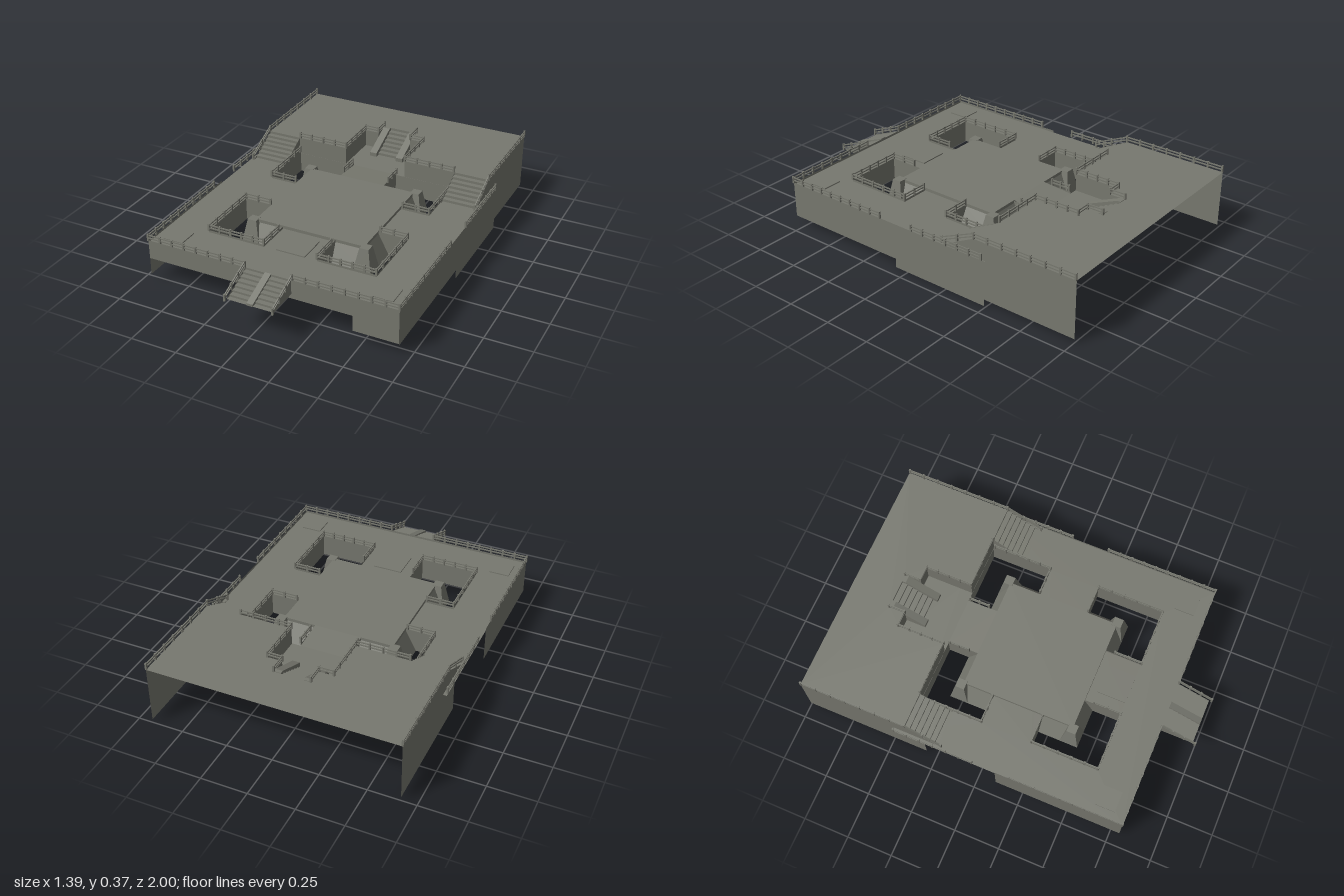
import * as THREE from 'three';

const DECK = 0.238, CURB = 0.25, TOP = 0.335, PLAT = 0.255, FOOT = 0.125;

export function createModel() {
  const root = new THREE.Group();
  root.name = 'terracedPlatform';
  const stone = new THREE.MeshStandardMaterial({ color: 0x77786f, side: THREE.DoubleSide, flatShading: true });
  stone.name = 'greyStone';

  const add = (geo, name, parent = root) => {
    const m = new THREE.Mesh(geo, stone);
    m.name = name;
    parent.add(m);
    return m;
  };

  // four-cornered face
  const quad = (a, b, c, d, name, parent) => {
    const g = new THREE.BufferGeometry();
    g.setAttribute('position', new THREE.Float32BufferAttribute([...a, ...b, ...c, ...d], 3));
    g.setIndex([0, 1, 2, 0, 2, 3]);
    g.computeVertexNormals();
    return add(g, name, parent);
  };
  const wall = (x0, z0, x1, z1, y0, y1, name) =>
    quad([x0, y0, z0], [x1, y0, z1], [x1, y1, z1], [x0, y1, z0], name);

  // flat floor from x,z outlines
  const floor = (outline, holes, y, name) => {
    const pts = (o) => o.map(([x, z]) => new THREE.Vector2(x, -z));
    const s = new THREE.Shape(pts(outline));
    holes.forEach((h) => s.holes.push(new THREE.Path(pts(h))));
    const g = new THREE.ShapeGeometry(s);
    g.rotateX(-Math.PI / 2);
    g.translate(0, y, 0);
    return add(g, name);
  };

  // square bar between two points
  const bar = (a, b, t, name, parent) => {
    const m = add(new THREE.BoxGeometry(t, t, a.distanceTo(b) + t), name, parent);
    m.position.copy(a).lerp(b, 0.5);
    m.lookAt(b);
  };

  // railing with posts and two bars along a path of x,y,z points
  const railing = (path, name, height = 0.035, gap = 0.07) => {
    const g = new THREE.Group();
    g.name = name;
    root.add(g);
    const p = path.map((q) => new THREE.Vector3(...q));
    for (let i = 0; i + 1 < p.length; i++) {
      const a = p[i], b = p[i + 1];
      for (const h of [height * 0.4, height * 0.85]) {
        const up = new THREE.Vector3(0, h, 0);
        bar(a.clone().add(up), b.clone().add(up), 0.006, 'railBar', g);
      }
      const n = Math.max(1, Math.round(a.distanceTo(b) / gap));
      for (let k = 0; k <= n; k++) {
        const post = add(new THREE.BoxGeometry(0.01, height + 0.004, 0.01), 'railPost', g);
        post.position.copy(a).lerp(b, k / n);
        post.position.y += height / 2;
      }
    }
  };

  // stair surface made of risers and treads
  const stairs = (x0, x1, zTop, yTop, zBot, yBot, n, name) => {
    const g = new THREE.Group();
    g.name = name;
    root.add(g);
    const dz = (zBot - zTop) / n, dy = (yTop - yBot) / n;
    for (let i = 0; i < n; i++) {
      const z = zTop + dz * i, y = yTop - dy * i, w = y - dy;
      quad([x0, w, z], [x1, w, z], [x1, y, z], [x0, y, z], 'riser', g);
      quad([x0, w, z + dz], [x1, w, z + dz], [x1, w, z], [x0, w, z], 'tread', g);
    }
  };

  // side profile of z,y points extruded across x
  const profile = (pts, x0, x1, name) => {
    const s = new THREE.Shape(pts.map(([z, y]) => new THREE.Vector2(z, y)));
    const g = new THREE.ExtrudeGeometry(s, { depth: x1 - x0, bevelEnabled: false });
    g.rotateY(-Math.PI / 2);
    g.translate(x1, 0, 0);
    return add(g, name);
  };

  // lower deck with four corner pits
  const frontPit = [[0.31, 0.21], [0.47, 0.21], [0.47, 0.58], [0.15, 0.58], [0.15, 0.38], [0.31, 0.38]];
  const rearPit = [[0.31, -0.07], [0.47, -0.07], [0.47, -0.409], [0.13, -0.409], [0.13, -0.24], [0.31, -0.24]];
  const flip = (o) => o.map(([x, z]) => [-x, z]);
  floor([[-0.69, 0.8], [0.69, 0.8], [0.69, -0.48], [0.18, -0.48], [0.18, -0.67], [-0.18, -0.67],
    [-0.18, -0.48], [-0.69, -0.48]], [frontPit, rearPit, flip(frontPit), flip(rearPit)], DECK, 'deck');

  // upper rear terrace with stair notch
  floor([[-0.67, -1], [0.67, -1], [0.67, -0.41], [0.18, -0.41], [0.18, -0.67], [0.1, -0.67], [0.1, -0.76],
    [-0.1, -0.76], [-0.1, -0.67], [-0.18, -0.67], [-0.18, -0.41], [-0.67, -0.41]], [], TOP, 'upperTerrace');

  // central platform
  const platform = add(new THREE.BoxGeometry(0.62, PLAT - DECK + 0.004, 0.62), 'centralPlatform');
  platform.position.set(0, (PLAT + DECK - 0.004) / 2, 0.07);

  // rear bridge ramp and raised floor panels
  quad([-0.13, DECK + 0.002, -0.41], [-0.13, PLAT, -0.24], [0.13, PLAT, -0.24], [0.13, DECK + 0.002, -0.41], 'bridgeRamp');
  for (const [x, z, w] of [[0, 0.5, 0.16], [-0.585, 0.685, 0.11], [0.575, 0.685, 0.11]]) {
    add(new THREE.BoxGeometry(w, 0.006, w), 'floorPanel').position.set(x, DECK + 0.003, z);
  }

  for (const s of [-1, 1]) {
    // pit retaining walls
    wall(s * 0.47, 0.21, s * 0.47, 0.58, FOOT, CURB, 'pitOuterWall');
    wall(s * 0.15, 0.58, s * 0.47, 0.58, FOOT, CURB, 'pitFrontWall');
    wall(s * 0.15, 0.38, s * 0.15, 0.58, FOOT, CURB, 'pitBridgeWall');
    wall(s * 0.31, 0.21, s * 0.47, 0.21, FOOT, CURB, 'pitSideWall');
    wall(s * 0.47, -0.41, s * 0.47, -0.07, FOOT, CURB, 'pitOuterWall');
    wall(s * 0.31, -0.07, s * 0.47, -0.07, FOOT, CURB, 'pitSideWall');
    wall(s * 0.13, -0.41, s * 0.13, -0.24, FOOT, CURB, 'pitBridgeWall');
    wall(s * 0.13, -0.41, s * 0.47, -0.41, FOOT, DECK, 'pitRearWall');

    // terrace front and notch walls
    wall(s * 0.18, -0.41, s * 0.67, -0.41, DECK, TOP, 'terraceFrontWall');
    wall(s * 0.18, -0.67, s * 0.18, -0.41, DECK, TOP, 'notchSideWall');
    wall(s * 0.1, -0.67, s * 0.18, -0.67, DECK, TOP, 'notchRearWall');
    wall(s * 0.1, -0.76, s * 0.1, -0.67, DECK, TOP, 'stairSideWall');

    // battered platform walls and flared corner piers
    for (const [zt, zf, zp, xi] of [[0.38, 0.43, 0.21, 0.15], [-0.24, -0.3, -0.07, 0.13]]) {
      quad([s * 0.31, DECK, zp], [s * 0.31, DECK, zt], [s * 0.37, FOOT, zf], [s * 0.37, FOOT, zp], 'batteredSideWall');
      quad([s * xi, DECK, zt], [s * 0.31, DECK, zt], [s * 0.37, FOOT, zf], [s * xi, FOOT, zf], 'batteredEndWall');
      const pier = new THREE.CylinderGeometry(0.025 * Math.SQRT2, 0.05 * Math.SQRT2, PLAT - FOOT, 4);
      pier.rotateY(Math.PI / 4);
      add(pier, 'cornerPier').position.set(s * 0.32, (PLAT + FOOT) / 2 + 0.002, zt > 0 ? 0.38 : -0.25);
    }

    // side stairs up to the terrace
    const [a, b] = s > 0 ? [0.475, 0.67] : [-0.67, -0.475];
    stairs(a, b, -0.41, TOP, -0.22, DECK, 7, 'sideStairs');
    for (const x of [0.475, 0.67]) {
      const t = [[s * x, DECK, -0.22], [s * x, DECK, -0.41], [s * x, TOP, -0.41]];
      quad(t[0], t[1], t[2], t[2], 'sideStairCheek');
    }

    // rear stair stringers
    const [c, d] = s > 0 ? [0.06, 0.1] : [-0.1, -0.06];
    profile([[-0.76, DECK], [-0.56, DECK], [-0.56, 0.26], [-0.74, TOP + 0.003], [-0.76, TOP + 0.003]], c, d, 'stairStringer');

    // railings
    railing([[s * 0.69, CURB, 0.18], [s * 0.69, CURB, 0.8], [s * 0.13, CURB, 0.8], [s * 0.13, 0.172, 0.992]], 'frontRailing');
    railing([[s * 0.69, CURB, -0.03], [s * 0.69, CURB, -0.47]], 'sideRailing');
    railing([[s * 0.67, TOP, -0.995], [s * 0.67, TOP, -0.41], [s * 0.67, 0.245, -0.21]], 'terraceRailing', 0.035, 0.09);
    railing([[s * 0.1, TOP, -0.76], [s * 0.1, TOP, -0.67], [s * 0.18, TOP, -0.67], [s * 0.18, TOP, -0.41],
      [s * 0.47, TOP, -0.41]], 'terraceFrontRailing');
    railing([[s * 0.32, CURB, 0.21], [s * 0.47, CURB, 0.21], [s * 0.47, CURB, 0.58], [s * 0.15, CURB, 0.58],
      [s * 0.15, CURB, 0.43]], 'frontPitRailing');
    railing([[s * 0.32, CURB, -0.07], [s * 0.47, CURB, -0.07], [s * 0.47, CURB, -0.4]], 'rearPitRailing');
    railing([[s * 0.135, CURB, -0.4], [s * 0.135, CURB, -0.29]], 'bridgeRailing');

    // front stair cheeks
    quad([s * 0.125, 0.17, 0.8], [s * 0.125, 0.17, 0.98], [s * 0.125, 0.18, 0.98], [s * 0.125, CURB, 0.8], 'frontStairCheek');
  }

  // rear and front stairs
  stairs(-0.1, 0.1, -0.76, TOP, -0.56, DECK, 7, 'rearStairs');
  stairs(-0.125, 0.125, 0.8, CURB, 0.98, 0.175, 7, 'frontStairs');
  profile([[0.8, 0.2], [0.98, 0.172], [0.98, 0.185], [0.8, CURB + 0.004]], -0.017, 0.017, 'frontStairRamp');

  // outer front walls
  wall(-0.69, 0.8, -0.09, 0.8, 0.145, CURB, 'frontWall');
  wall(-0.09, 0.8, 0.09, 0.8, 0.18, CURB, 'frontStairBackWall');
  wall(0.09, 0.8, 0.45, 0.8, 0.145, CURB, 'frontWall');
  wall(0.45, 0.8, 0.69, 0.8, 0.06, CURB, 'frontCornerWall');

  // outer side walls
  wall(0.69, 0.08, 0.69, 0.8, 0.05, CURB, 'leftFrontWall');
  wall(0.69, -0.49, 0.69, 0.08, 0, CURB, 'leftMiddleWall');
  wall(0.67, -1, 0.67, -0.41, 0.02, TOP, 'leftRearWall');
  wall(-0.69, 0.1, -0.69, 0.8, 0.05, CURB, 'rightFrontWall');
  wall(-0.67, -1, -0.67, -0.41, 0.02, TOP, 'rightRearWall');
  wall(-0.67, -0.41, -0.67, -0.31, 0.02, DECK, 'rightRearWallEnd');

  return root;
}
